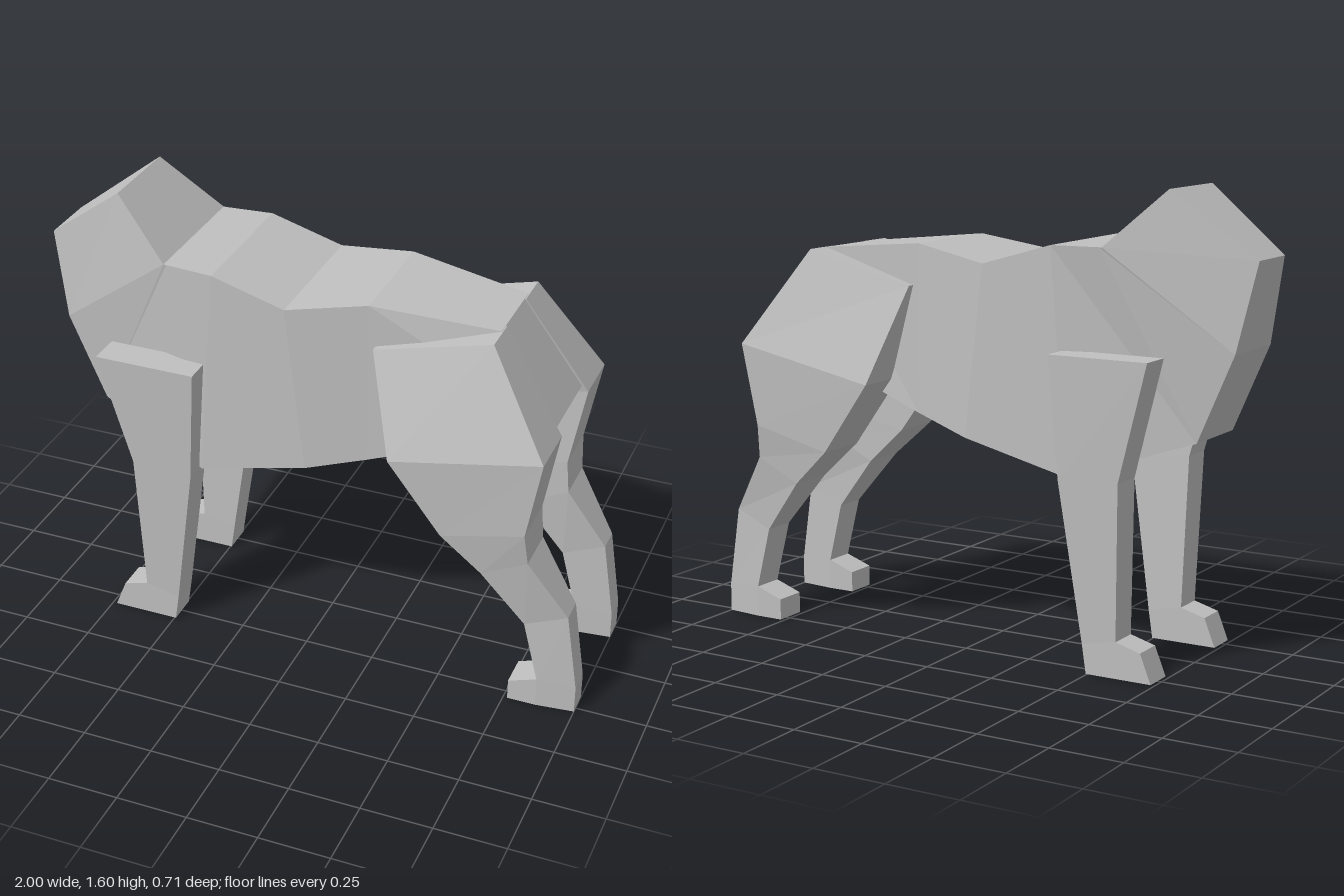
import * as THREE from 'three';

// Skin a list of four-cornered rings, with both ends capped
function loft(rings) {
  const pos = [];
  const quad = (a, b, c, d) => pos.push(...a, ...b, ...c, ...a, ...c, ...d);
  for (let i = 0; i < rings.length - 1; i++) {
    for (let j = 0; j < 4; j++) {
      const k = (j + 1) % 4;
      quad(rings[i][j], rings[i][k], rings[i + 1][k], rings[i + 1][j]);
    }
  }
  const first = rings[0], last = rings[rings.length - 1];
  quad(first[3], first[2], first[1], first[0]);
  quad(...last);
  const geo = new THREE.BufferGeometry();
  geo.setAttribute('position', new THREE.Float32BufferAttribute(pos, 3));
  geo.computeVertexNormals();
  return geo;
}

// Body ring: top x, y, half width, then bottom x, y, half width
const bodyRing = ([tx, ty, tw, bx, by, bw]) =>
  [[tx, ty, tw], [bx, by, bw], [bx, by, -bw], [tx, ty, -tw]];

// Leg ring: front x, y, back x, y, inner z, outer z, inset of the back edge
function legRing([fx, fy, bx, by, zi, zo, inset = 0], side) {
  const ring = [
    [fx, fy, zi * side], [bx, by, (zi + inset) * side],
    [bx, by, (zo - inset) * side], [fx, fy, zo * side],
  ];
  return side > 0 ? ring : ring.reverse();
}

const BODY = [
  [-0.71, 1.6, 0.16, -1, 1.38, 0.1],
  [-0.51, 1.41, 0.24, -0.94, 1.08, 0.14],
  [-0.5, 1.41, 0.24, -0.81, 0.78, 0.14],
  [-0.33, 1.41, 0.255, -0.39, 0.645, 0.255],
  [-0.07, 1.335, 0.255, 0, 0.74, 0.255],
  [0.21, 1.385, 0.21, 0.21, 0.8, 0.215],
  [0.64, 1.345, 0.14, 0.84, 1.03, 0.16],
];

const LEGS = {
  frontLeg: [
    [-0.73, 1.065, -0.37, 1.065, 0.225, 0.343],
    [-0.62, 0.66, -0.4, 0.645, 0.205, 0.325],
    [-0.605, 0.125, -0.48, 0.1, 0.19, 0.3],
    [-0.605, 0, -0.495, 0, 0.19, 0.3],
  ],
  frontPaw: [
    [-0.695, 0.1, -0.605, 0.125, 0.19, 0.3],
    [-0.735, 0, -0.605, 0, 0.19, 0.3],
  ],
  hindLeg: [
    [0.235, 1.24, 0.645, 1.345, 0.1, 0.233],
    [0.335, 0.905, 0.863, 1.01, 0.15, 0.355, 0.003],
    [0.52, 0.65, 0.81, 0.72, 0.145, 0.34],
    [0.66, 0.52, 0.82, 0.6, 0.147, 0.318],
    [0.81, 0.33, 0.957, 0.385, 0.165, 0.285, 0.015],
    [0.865, 0.11, 1, 0.1, 0.168, 0.285, 0.015],
    [0.865, 0, 1, 0, 0.168, 0.285, 0.015],
  ],
  hindPaw: [
    [0.765, 0.075, 0.865, 0.11, 0.168, 0.285],
    [0.765, 0, 0.865, 0, 0.168, 0.285],
  ],
};

export function createModel() {
  const model = new THREE.Group();
  model.name = 'fourLeggedBody';
  const grey = new THREE.MeshStandardMaterial({ color: 0xbfbfbf, flatShading: true });
  grey.name = 'plain grey';

  const add = (name, rings) => {
    const mesh = new THREE.Mesh(loft(rings), grey);
    mesh.name = name;
    model.add(mesh);
  };

  // Neck, chest, belly and rump
  add('torso', BODY.map(bodyRing));

  // Mirrored legs and paws
  for (const [name, sections] of Object.entries(LEGS)) {
    for (const side of [1, -1]) {
      add(name + (side > 0 ? 'Near' : 'Far'), sections.map((s) => legRing(s, side)));
    }
  }
  return model;
}
